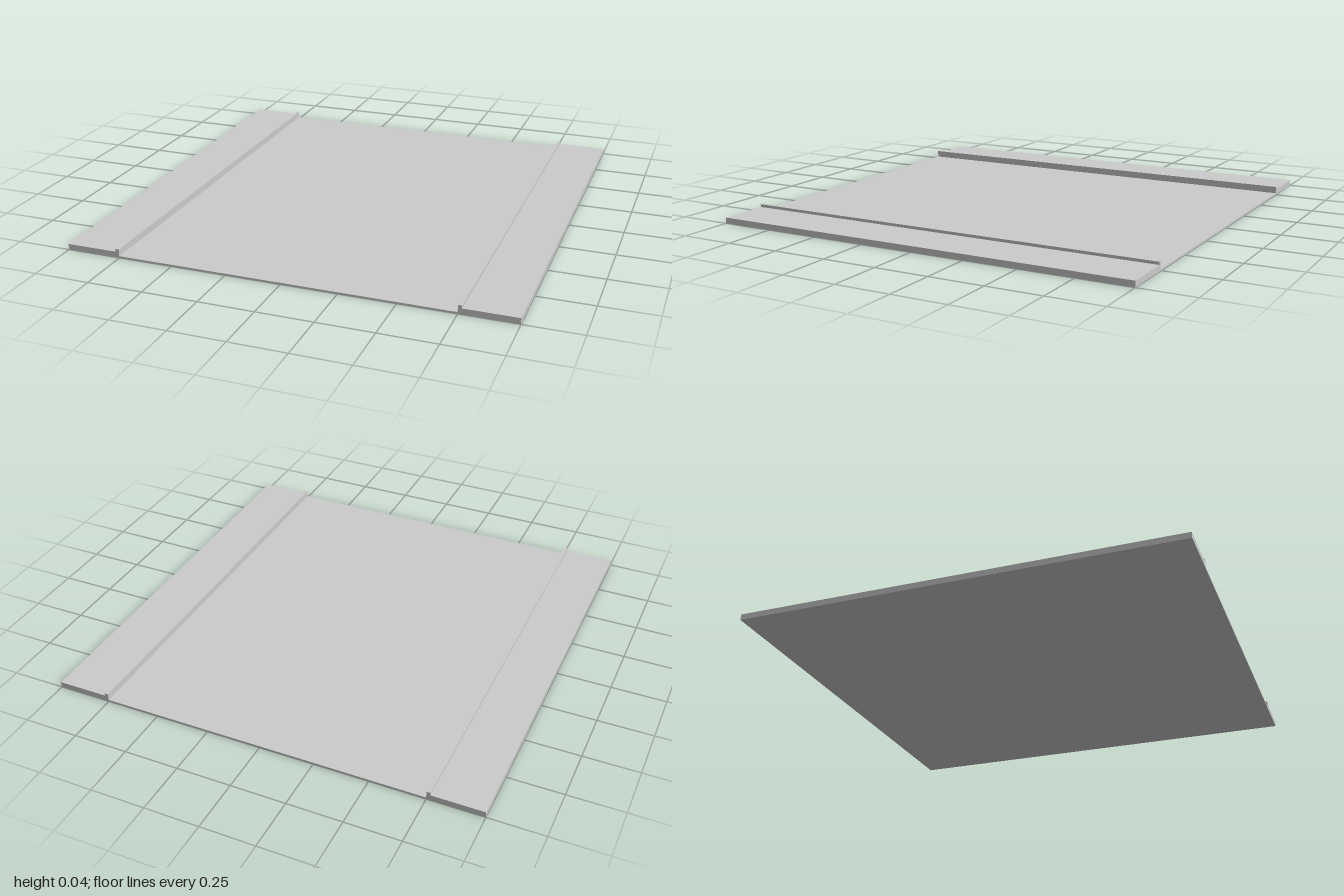
import * as THREE from 'three';

const LENGTH = 2;
const ROAD_HALF = 0.75, KERB_OUTER = 0.767, EDGE = 1;
const ROAD_TOP = 0.008, PAVEMENT_TOP = 0.027, KERB_TOP = 0.04;

export function createModel() {
  const group = new THREE.Group();
  group.name = 'roadSection';
  const material = new THREE.MeshStandardMaterial({ color: 0xcccccc, flatShading: true });

  // Full-length slab standing on the ground between two x positions
  function slab(name, x0, x1, height) {
    const mesh = new THREE.Mesh(new THREE.BoxGeometry(x1 - x0, height, LENGTH), material);
    mesh.position.set((x0 + x1) / 2, height / 2, 0);
    mesh.name = name;
    group.add(mesh);
  }

  // Thin roadway in the middle
  slab('roadway', -ROAD_HALF, ROAD_HALF, ROAD_TOP);

  // Raised kerbs and pavements, butted together on each side
  slab('leftKerb', ROAD_HALF, KERB_OUTER, KERB_TOP);
  slab('leftPavement', KERB_OUTER, EDGE, PAVEMENT_TOP);
  slab('rightKerb', -KERB_OUTER, -ROAD_HALF, KERB_TOP);
  slab('rightPavement', -EDGE, -KERB_OUTER, PAVEMENT_TOP);

  return group;
}
